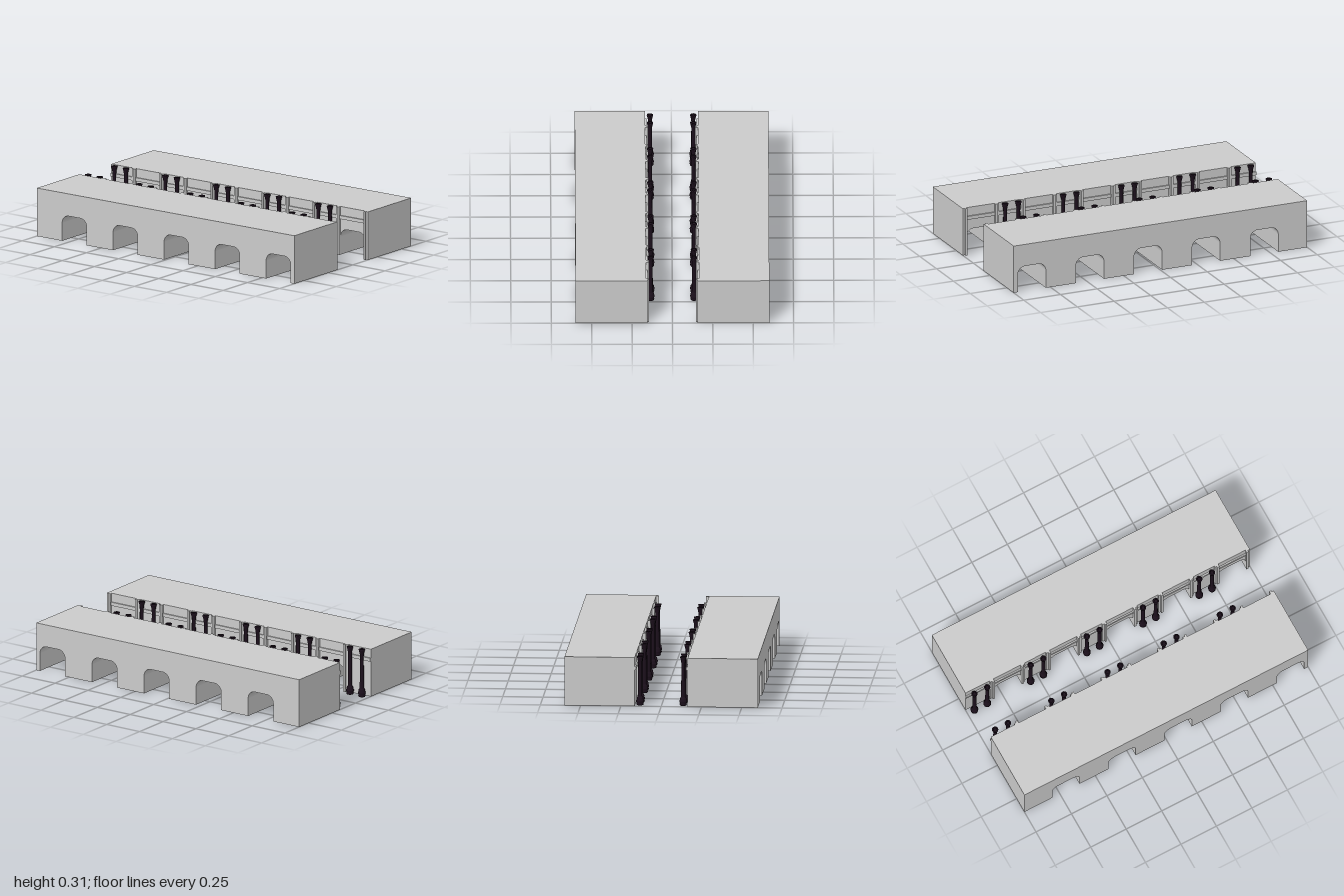
import * as THREE from 'three';

const H = 0.307, INNER = 0.164, OUTER = 0.6, BAYS = 5, STEP = 0.396;
const grey = new THREE.MeshStandardMaterial({ color: 0xcccccc });
const dark = new THREE.MeshStandardMaterial({ color: 0x1c101c, side: THREE.DoubleSide });

function add(parent, name, geometry, material, x = 0, y = 0, z = 0) {
  const mesh = new THREE.Mesh(geometry, material);
  mesh.name = name;
  mesh.position.set(x, y, z);
  parent.add(mesh);
  return mesh;
}

// Long block profile (z along, y up) with round-cornered archways cut from below
function blockGeometry() {
  const top = 0.165, r = 0.05, s = new THREE.Shape();
  s.moveTo(-1, 0);
  for (let i = BAYS - 1; i >= 0; i--) {
    const b = 0.972 - i * STEP, a = b - 0.191;
    s.lineTo(a, 0);
    s.lineTo(a, top - r);
    s.absarc(a + r, top - r, r, Math.PI, Math.PI / 2, true);
    s.lineTo(b - r, top);
    s.absarc(b - r, top - r, r, Math.PI / 2, 0, true);
    s.lineTo(b, 0);
  }
  s.lineTo(1, 0);
  s.lineTo(1, H);
  s.lineTo(-1, H);
  s.closePath();
  const geo = new THREE.ExtrudeGeometry(s, { depth: OUTER - INNER, bevelEnabled: false, curveSegments: 8 });
  return geo.rotateY(-Math.PI / 2);
}

// Hollow column: ringed foot, slim shaft, flared mouth
function columnGeometry() {
  const profile = [
    [0.012, 0], [0.02, 0], [0.023, 0.008], [0.02, 0.014], [0.024, 0.022], [0.024, 0.03],
    [0.019, 0.036], [0.021, 0.043], [0.017, 0.05], [0.0135, 0.056], [0.0115, 0.25],
    [0.0125, 0.272], [0.016, 0.29], [0.019, 0.3], [0.02, H], [0.011, H],
  ].map(([x, y]) => new THREE.Vector2(x, y));
  return new THREE.LatheGeometry(profile, 16);
}

export function createModel() {
  const model = new THREE.Group();
  model.name = 'arcadePair';
  const block = blockGeometry(), column = columnGeometry();
  const backing = new THREE.BoxGeometry(0.01, H, 0.028);
  const rib = new THREE.BoxGeometry(0.01, H, 0.014);
  const rail = new THREE.BoxGeometry(0.01, 0.022, 2);

  for (const side of [1, -1]) {
    const row = new THREE.Group();
    row.name = side > 0 ? 'leftArcade' : 'rightArcade';
    model.add(row);
    add(row, 'archedBlock', block, grey, side > 0 ? OUTER : -INNER);
    add(row, 'rail', rail, grey, side * 0.16, 0.24, 0);

    for (let i = 0; i < BAYS; i++) {
      const front = 0.972 - i * STEP, back = front - 0.191;
      // Stepped pilasters on both edges of each archway
      for (const [edge, dir] of [[front, 1], [back, -1]]) {
        add(row, 'pilasterBacking', backing, grey, side * 0.16, H / 2, edge + dir * 0.014);
        add(row, 'pilasterRib', rib, grey, side * 0.151, H / 2, edge + dir * 0.007);
      }
      // Column pair standing before each pier
      for (const dz of [0.06, 0.15]) {
        add(row, 'column', column, dark, side * 0.134, 0, back - dz);
      }
    }
  }
  return model;
}
